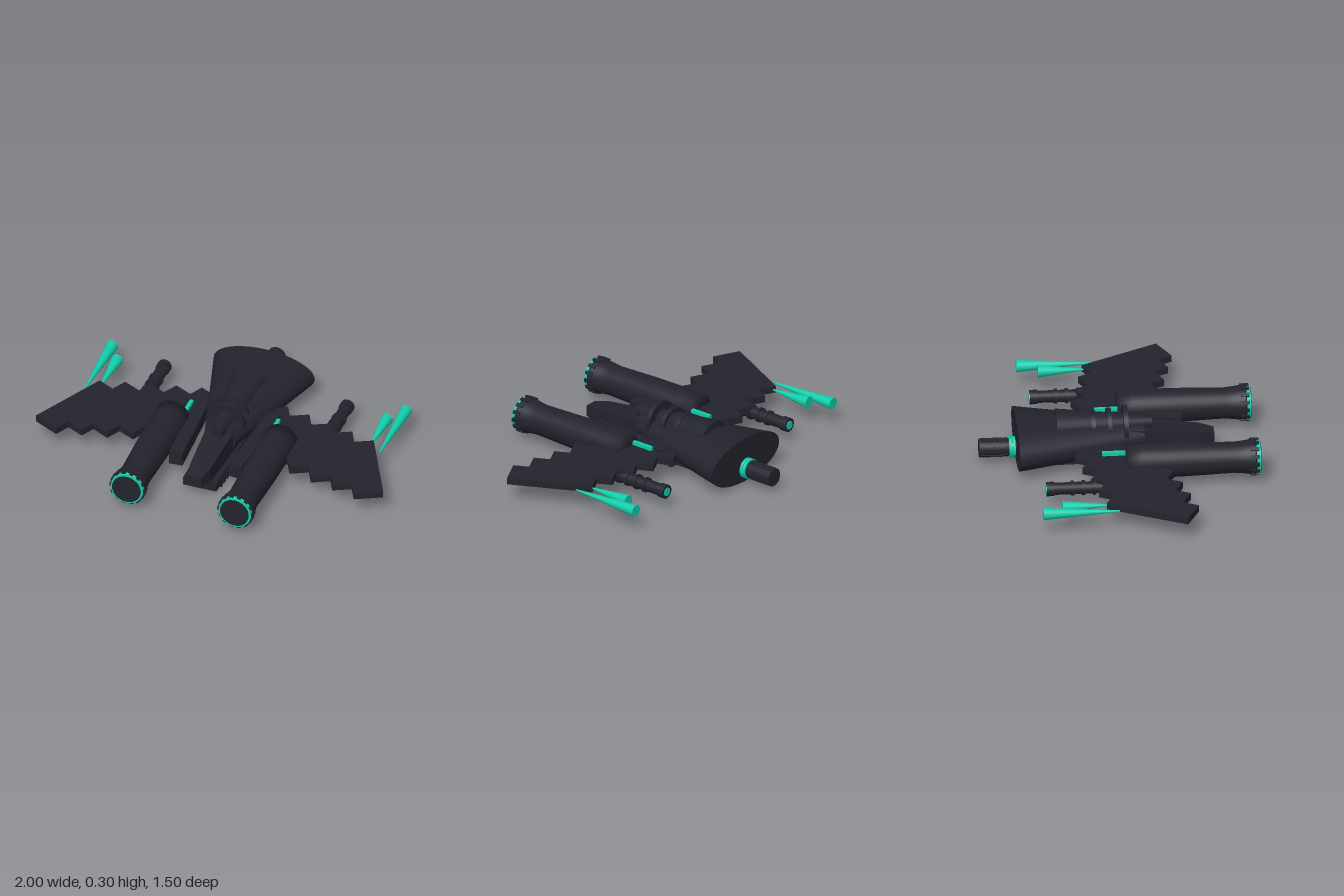
import * as THREE from 'three';

const dark = new THREE.MeshStandardMaterial({ color: 0x23232e });
dark.name = 'dark hull';
const teal = new THREE.MeshStandardMaterial({ color: 0x12cdab });
teal.name = 'teal glow';

// Tapers a unit geometry along z between two sections { z, rx, ry, y }
function taper(geo, a, b) {
  const p = geo.attributes.position;
  for (let i = 0; i < p.count; i++) {
    const t = p.getZ(i) + 0.5;
    const mix = (k) => a[k] + (b[k] - a[k]) * t;
    p.setXYZ(i, p.getX(i) * mix('rx'), mix('y') + p.getY(i) * mix('ry'), mix('z'));
  }
  geo.computeVertexNormals();
  return geo;
}
const sec = (z, rx, ry, y) => ({ z, rx, ry, y });
const oval = (a, b, n = 40) => taper(new THREE.CylinderGeometry(1, 1, 1, n).rotateX(Math.PI / 2), a, b);
const block = (a, b) => taper(new THREE.BoxGeometry(2, 2, 1), a, b);

function add(parent, name, geo, mat, x = 0, y = 0, z = 0) {
  const m = new THREE.Mesh(geo, mat);
  m.name = name;
  m.position.set(x, y, z);
  parent.add(m);
  return m;
}

// Round rod along z, centred on its own axis
const rod = (z0, z1, r0, r1 = r0, n = 24) => oval(sec(z0, r0, r0, 0), sec(z1, r1, r1, 0), n);

function buildEngine(parent, s) {
  const g = new THREE.Group();
  g.name = 'enginePod';
  g.position.set(s * 0.31, 0.132, 0);
  parent.add(g);
  const profile = [[0, 0.02], [0.094, 0.02], [0.095, 0.1], [0.092, 0.35], [0.084, 0.6],
    [0.09, 0.66], [0.098, 0.71], [0.098, 0.72], [0, 0.72]];
  const pts = profile.map(([r, z]) => new THREE.Vector2(r, z));
  add(g, 'engineBarrel', new THREE.LatheGeometry(pts, 32).rotateX(Math.PI / 2), dark);
  add(g, 'intakeRing', rod(0.70, 0.742, 0.096, 0.092, 32), teal);
  add(g, 'intakeFace', rod(0.72, 0.746, 0.082, 0.082, 32), dark);
  // Teeth round the intake lip
  for (let i = 0; i < 14; i++) {
    const a = (i / 14) * Math.PI * 2;
    const t = add(g, 'intakeTooth', new THREE.BoxGeometry(0.012, 0.02, 0.045), dark,
      Math.cos(a) * 0.096, Math.sin(a) * 0.096, 0.712);
    t.rotation.z = a;
  }
  add(g, 'engineVent', new THREE.BoxGeometry(0.02, 0.04, 0.13), teal, -s * 0.06, 0.012, -0.04);
}

function buildWing(parent, s) {
  const g = new THREE.Group();
  g.name = 'wing';
  parent.add(g);
  // Overlapping swept feather panels, tip first
  for (let i = 0; i < 5; i++) {
    const f = add(g, 'wingFeather', new THREE.BoxGeometry(0.16, 0.038 + i * 0.001, 0.47), dark,
      s * (0.821 - 0.135 * i), 0.122 + (i % 2) * 0.003, 0.12 - 0.032 * i);
    f.rotation.y = s * 0.464;
  }
  const root = add(g, 'wingRoot', new THREE.BoxGeometry(0.075, 0.08, 0.52), dark, s * 0.185, 0.11, 0.1);
  root.rotation.y = -s * 0.06;

  // Rear-facing cannon with bands
  const c = new THREE.Group();
  c.name = 'cannon';
  c.position.set(s * 0.525, 0.1, 0);
  g.add(c);
  add(c, 'cannonBarrel', rod(-0.425, -0.08, 0.033), dark);
  add(c, 'cannonMuzzle', rod(-0.43, -0.39, 0.039), dark);
  add(c, 'cannonGlow', rod(-0.434, -0.428, 0.024), teal);
  for (const z of [-0.29, -0.23, -0.17, -0.11]) add(c, 'cannonBand', rod(z - 0.008, z + 0.008, 0.041), dark);

  // Tapered exhaust plumes near the tip
  for (const [x, z0, z1] of [[0.845, -0.475, -0.06], [0.775, -0.365, -0.11]])
    add(g, 'plume', rod(z0, z1, 0.033, 0.004), teal, s * x, 0.121, 0);
}

export function createModel() {
  const model = new THREE.Group();
  model.name = 'spacecraft';

  // Oval hull, canopy and nose
  add(model, 'hull', oval(sec(-0.55, 0.29, 0.128, 0.132), sec(0.14, 0.088, 0.085, 0.132), 56), dark);
  add(model, 'canopy', oval(sec(-0.335, 0.11, 0.09, 0.2), sec(0.185, 0.03, 0.04, 0.2)), dark);
  add(model, 'nose', block(sec(0, 0.085, 0.075, 0.125), sec(0.44, 0.058, 0.045, 0.11)), dark);
  add(model, 'noseTip', block(sec(0.44, 0.058, 0.045, 0.11), sec(0.52, 0.036, 0.03, 0.11)), dark);

  // Hoops over the canopy
  for (const [z, r] of [[0.04, 0.11], [-0.048, 0.1], [-0.135, 0.09]])
    add(model, 'canopyHoop', oval(sec(z - 0.012, r, r, 0.187), sec(z + 0.012, r, r, 0.187)), dark);

  // Keel with cross ribs
  add(model, 'keel', block(sec(-0.4, 0.1, 0.025, 0.04), sec(0.445, 0.095, 0.025, 0.04)), dark);
  for (let i = 0; i < 13; i++)
    add(model, 'keelRib', new THREE.BoxGeometry(0.236 - i * 0.003, 0.05, 0.026), dark, 0, 0.025, -0.12 + i * 0.0405);

  // Tail thruster
  const tail = new THREE.Group();
  tail.name = 'tailThruster';
  tail.position.y = 0.085;
  model.add(tail);
  add(tail, 'thrusterTube', rod(-0.75, -0.54, 0.05, 0.048), dark);
  for (const z of [-0.562, -0.58]) add(tail, 'thrusterRing', rod(z - 0.009, z + 0.007, 0.057, 0.057, 32), teal);
  for (let i = 0; i < 10; i++) {
    const a = (i / 10) * Math.PI * 2;
    const rib = add(tail, 'thrusterRib', new THREE.BoxGeometry(0.008, 0.012, 0.15), dark,
      Math.cos(a) * 0.048, Math.sin(a) * 0.048, -0.67);
    rib.rotation.z = a;
  }

  for (const s of [1, -1]) {
    buildEngine(model, s);
    buildWing(model, s);
  }
  return model;
}
